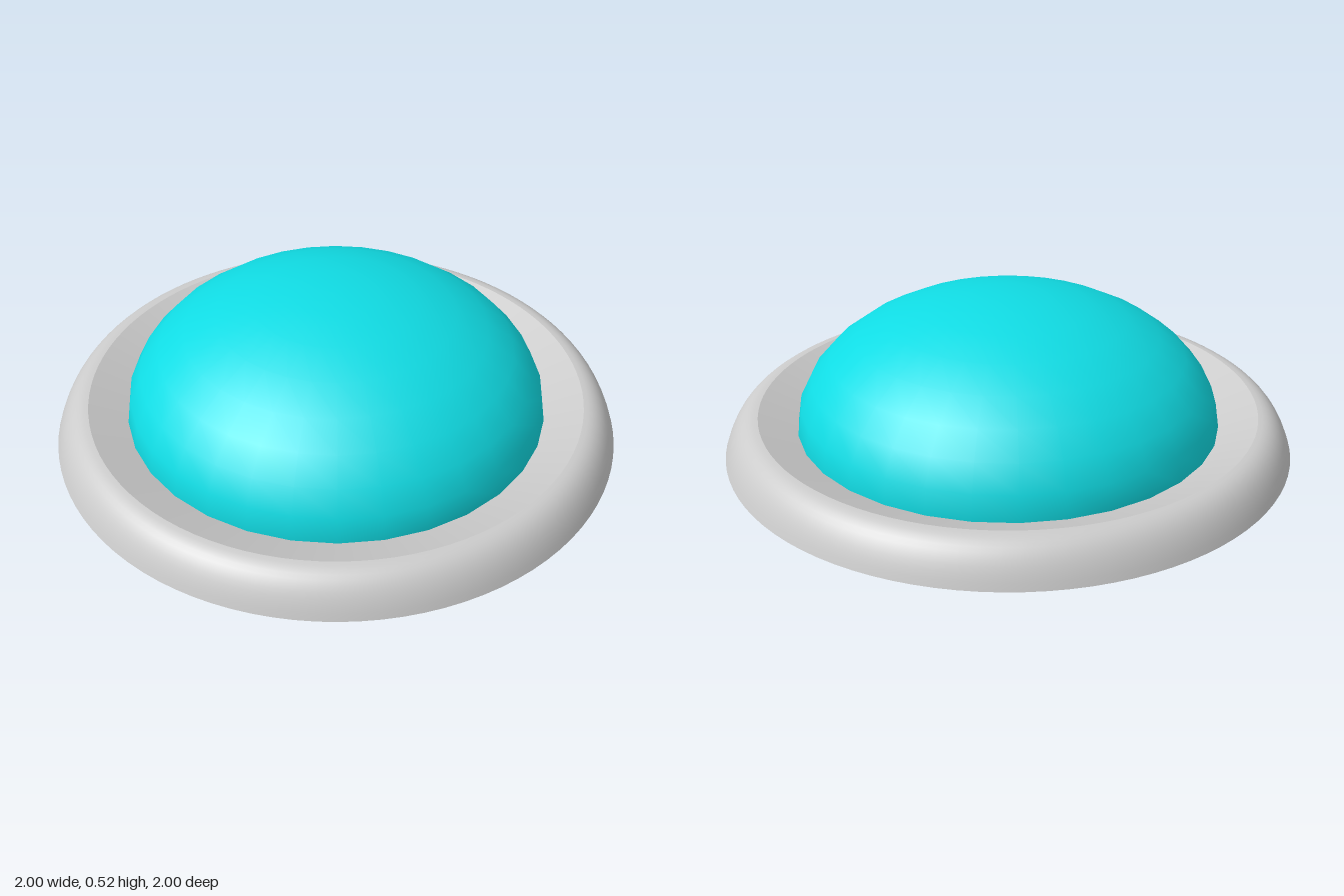
import * as THREE from 'three';

function addMesh(group, name, geometry, color) {
  const material = new THREE.MeshStandardMaterial({ color, side: THREE.DoubleSide });
  const mesh = new THREE.Mesh(geometry, material);
  mesh.name = name;
  group.add(mesh);
  return mesh;
}

export function createModel() {
  const group = new THREE.Group();
  group.name = 'domedDish';
  const v = (x, y) => new THREE.Vector2(x, y);

  // Rounded outer wall of the hollow rim, from the ground up to the crest
  const wall = new THREE.QuadraticBezierCurve(v(1, 0), v(0.96, 0.13), v(0.88, 0.13));
  addMesh(group, 'rimOuterWall', new THREE.LatheGeometry(wall.getPoints(10), 96), 0xcccccc);

  // Inner slope from the crest down to the central opening
  const slope = [v(0.88, 0.13), v(0.667, 0.037)];
  addMesh(group, 'rimInnerSlope', new THREE.LatheGeometry(slope, 96), 0xcccccc);

  // Flattened open hemisphere resting on the slope
  const dome = new THREE.SphereGeometry(0.747, 32, 8, 0, Math.PI * 2, 0, Math.PI / 2);
  dome.scale(1, 0.45 / 0.747, 1);
  addMesh(group, 'dome', dome, 0x10dce4).position.y = 0.072;

  return group;
}
